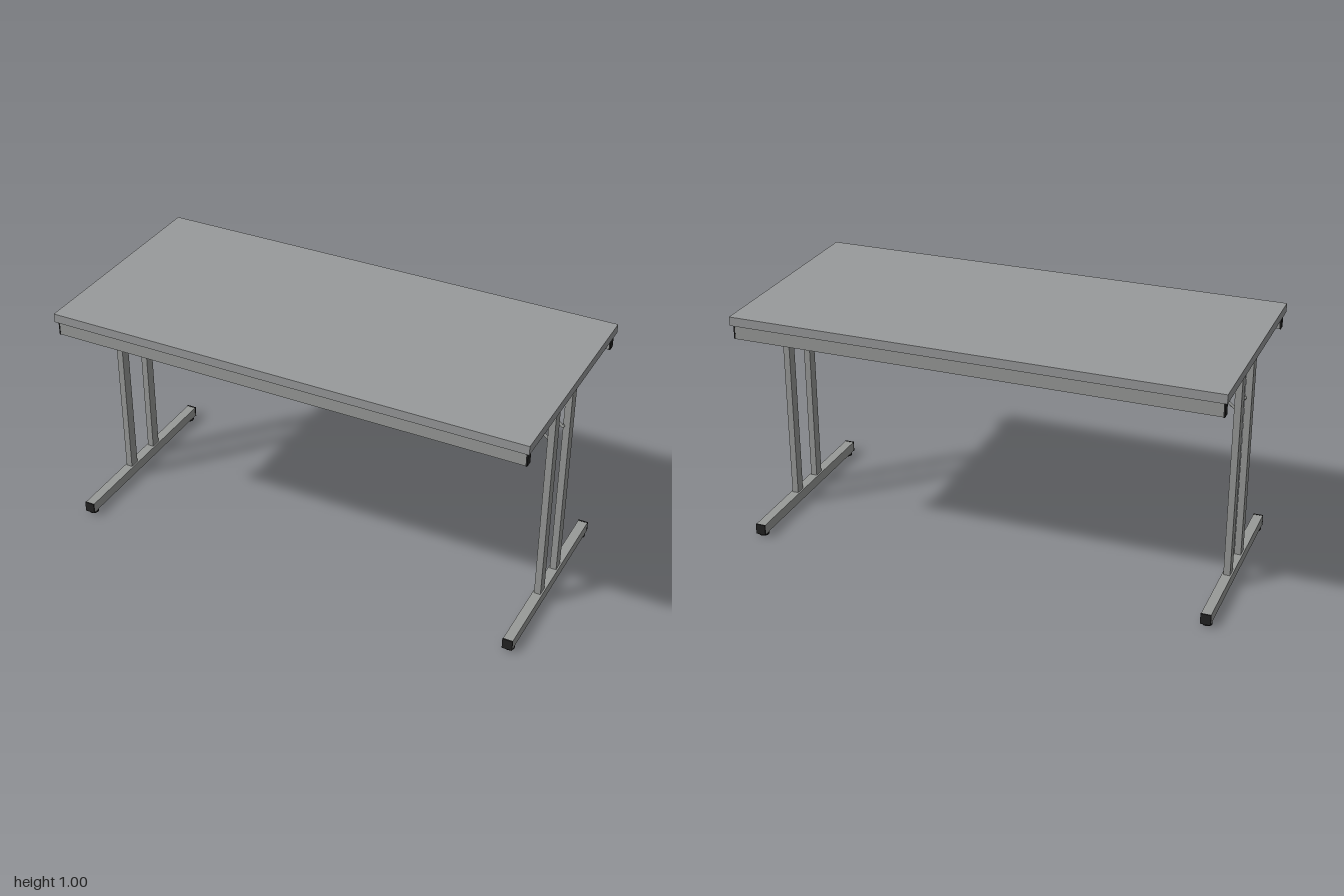
import * as THREE from 'three';

const topMat = new THREE.MeshStandardMaterial({ color: 0x989a9b });
topMat.name = 'tabletop grey';
const steel = new THREE.MeshStandardMaterial({ color: 0x989a98 });
steel.name = 'steel grey';
const black = new THREE.MeshStandardMaterial({ color: 0x222222 });
black.name = 'black plastic';

function add(parent, name, geometry, material, x = 0, y = 0, z = 0) {
  const mesh = new THREE.Mesh(geometry, material);
  mesh.name = name;
  mesh.position.set(x, y, z);
  parent.add(mesh);
  return mesh;
}

// Box given by its lower and upper corners
function box(parent, name, material, [x0, y0, z0], [x1, y1, z1]) {
  return add(parent, name, new THREE.BoxGeometry(x1 - x0, y1 - y0, z1 - z0), material,
    (x0 + x1) / 2, (y0 + y1) / 2, (z0 + z1) / 2);
}

// Folding T-leg frame on the +x end
function createLegFrame() {
  const frame = new THREE.Group();
  const cx = 0.957;

  // Pivot bar between the rails and its clip
  add(frame, 'pivotBar', new THREE.CylinderGeometry(0.017, 0.017, 0.86, 24).rotateX(Math.PI / 2), steel, cx, 0.934, 0);
  box(frame, 'pivotClip', black, [cx - 0.021, 0.934, -0.06], [cx + 0.021, 0.963, 0.06]);

  // Foot beam
  box(frame, 'footBeam', steel, [cx - 0.02, 0.011, -0.416], [cx + 0.02, 0.054, 0.416]);

  // Bent stay: pegs at the posts, arms rising to a cross rod under the top
  const path = new THREE.CurvePath();
  const points = [
    [0.945, 0.75, 0.08], [0.945, 0.75, 0.058], [0.715, 0.932, 0.058],
    [0.715, 0.932, -0.058], [0.945, 0.75, -0.058], [0.945, 0.75, -0.08],
  ].map((p) => new THREE.Vector3(...p));
  for (let i = 1; i < points.length; i++) path.add(new THREE.LineCurve3(points[i - 1], points[i]));
  for (let i = 1; i < points.length; i++) {
    add(frame, 'stayRod', new THREE.TubeGeometry(path.curves[i - 1], 1, 0.006, 10), steel);
    if (i < points.length - 1) add(frame, 'stayBend', new THREE.SphereGeometry(0.006, 10, 8), steel, ...points[i].toArray());
  }

  // Latch that guides the stay's cross rod
  const latch = new THREE.Group();
  latch.name = 'stayLatch';
  box(latch, 'latchBar', steel, [0.58, 0.937, -0.014], [0.745, 0.963, 0.014]);
  for (const x of [0.58, 0.745]) {
    add(latch, 'latchEnd', new THREE.CylinderGeometry(0.019, 0.019, 0.028, 16), steel, x, 0.949, 0);
  }
  frame.add(latch);

  for (const s of [-1, 1]) {
    // Upright posts
    add(frame, 'post', new THREE.BoxGeometry(0.027, 0.871, 0.044), steel, cx, 0.4895, s * 0.087);
    // Foot end caps and glides
    add(frame, 'footCap', new THREE.BoxGeometry(0.042, 0.045, 0.006), black, cx, 0.0325, s * 0.418);
    add(frame, 'footGlide', new THREE.CylinderGeometry(0.021, 0.021, 0.012, 20), black, cx, 0.006, s * 0.392);
  }
  return frame;
}

export function createModel() {
  const model = new THREE.Group();
  model.name = 'foldingTable';

  box(model, 'tabletop', topMat, [-1, 0.963, -0.466], [1, 1, 0.466]);

  // Long rails under the top with end caps
  for (const s of [-1, 1]) {
    add(model, 'sideRail', new THREE.BoxGeometry(1.97, 0.056, 0.03), steel, 0, 0.932, s * 0.438);
    for (const e of [-1, 1]) {
      add(model, 'railCap', new THREE.BoxGeometry(0.006, 0.058, 0.031), black, e * 0.988, 0.932, s * 0.438);
    }
  }

  // Matching leg frames at both ends
  const left = createLegFrame();
  left.name = 'leftLegFrame';
  const right = createLegFrame();
  right.name = 'rightLegFrame';
  right.rotation.y = Math.PI;
  model.add(left, right);
  return model;
}
